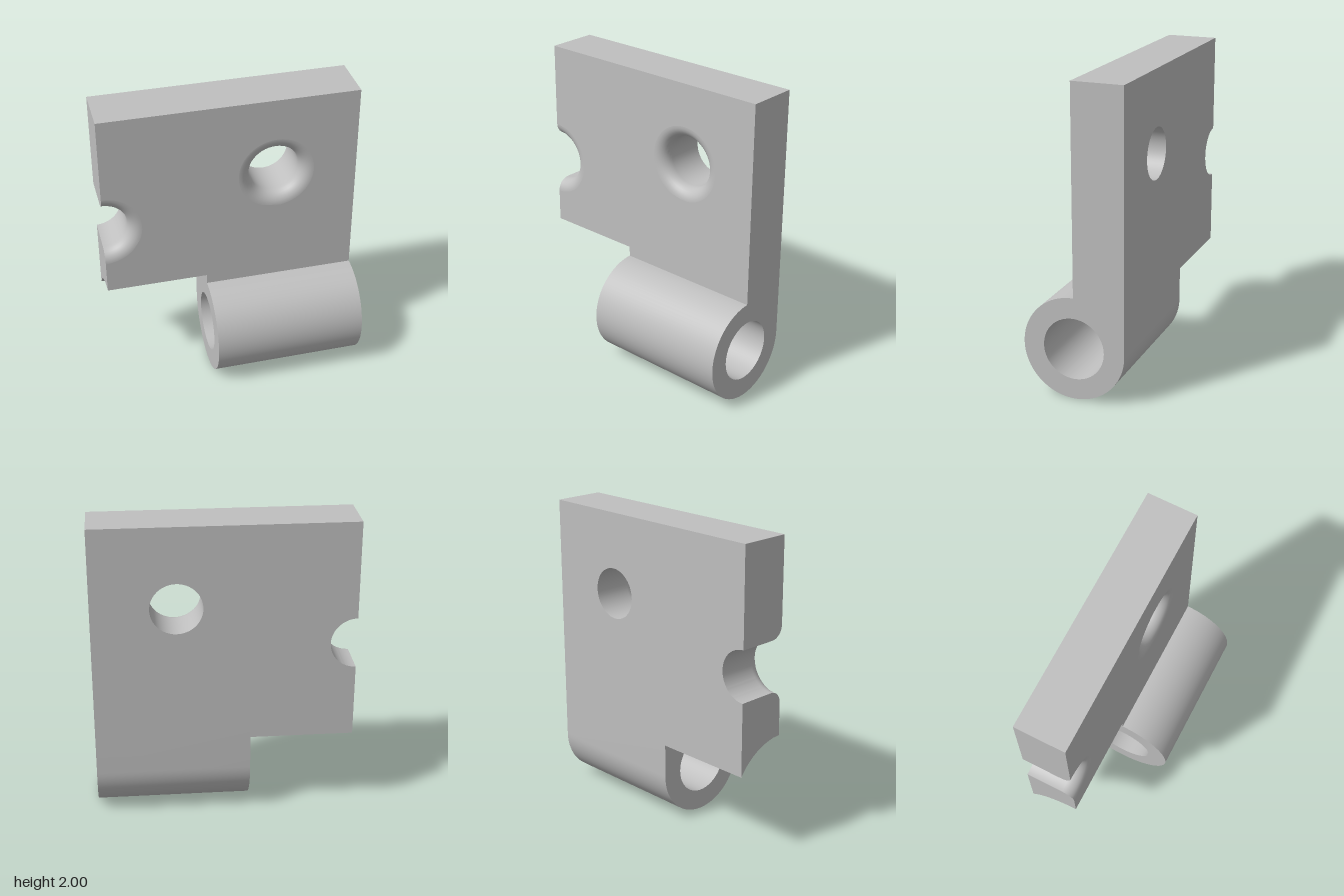
import * as THREE from 'three';
import { toCreasedNormals } from 'three/addons/utils/BufferGeometryUtils.js';

const T = 1 / 3;            // plate thickness, also barrel radius and axis height
const HALF = 5 / 6;         // half width of the plate
const STEP = -1 / 6;        // x where the barrel begins
const SEAM = T + 0.4;       // height where the plate meets the lower parts
const HOLE = 1 / 6, FILLET = 1 / 12, RINGS = 8;
const HOLES = [[0.3, 1.47], [-HALF, 1.2]];

// Crease the edges and leave out the hidden faces along the seam
function finish(geometry) {
  const g = toCreasedNormals(geometry, 0.5);
  const p = g.attributes.position, n = g.attributes.normal;
  const pos = [], nor = [];
  for (let i = 0; i < p.count; i += 3) {
    const tri = [i, i + 1, i + 2];
    if (tri.every((k) => Math.abs(p.getY(k) - SEAM) < 1e-4)) continue;
    const front = tri.every((k) => Math.abs(p.getZ(k)) < 1e-4);
    for (const k of tri) {
      pos.push(p.getX(k), p.getY(k), p.getZ(k));
      // the flat front stays flat where the rounded hole rims run into it
      if (front) nor.push(0, 0, 1);
      else nor.push(n.getX(k), n.getY(k), n.getZ(k));
    }
  }
  const out = new THREE.BufferGeometry();
  out.setAttribute('position', new THREE.Float32BufferAttribute(pos, 3));
  out.setAttribute('normal', new THREE.Float32BufferAttribute(nor, 3));
  return out;
}

// Plate with a round hole and a half-round edge notch, rims rounded at the front
function plateGeometry() {
  const [[hx, hy], [nx, ny]] = HOLES;
  const shape = new THREE.Shape();
  shape.moveTo(-HALF, SEAM);
  shape.lineTo(HALF, SEAM);
  shape.lineTo(HALF, 2);
  shape.lineTo(-HALF, 2);
  shape.lineTo(-HALF, ny + HOLE);
  shape.absarc(nx, ny, HOLE, Math.PI / 2, -Math.PI / 2, true);
  shape.closePath();
  shape.holes.push(new THREE.Path().absarc(hx, hy, HOLE, 0, Math.PI * 2, true));
  const g = new THREE.ExtrudeGeometry(shape, {
    depth: RINGS + 1, steps: RINGS + 1, bevelEnabled: false, curveSegments: 24,
  });
  const p = g.attributes.position;
  for (let i = 0; i < p.count; i++) {
    const layer = Math.round(p.getZ(i));
    const a = (Math.max(layer - 1, 0) / RINGS) * Math.PI / 2;
    const grow = 1 + FILLET * (1 - Math.cos(a)) / HOLE;
    const x = p.getX(i), y = p.getY(i);
    for (const [cx, cy] of HOLES) {
      if (Math.hypot(x - cx, y - cy) < HOLE + 0.001) {
        p.setXY(i, cx + (x - cx) * grow, cy + (y - cy) * grow);
      }
    }
    p.setZ(i, layer === 0 ? -T : FILLET * (Math.sin(a) - 1));
  }
  return finish(g);
}

// Side profile (drawn with -z to the right) swept along x
function sweep(shape, x0, x1) {
  const g = new THREE.ExtrudeGeometry(shape, {
    depth: x1 - x0, bevelEnabled: false, curveSegments: 32,
  });
  g.rotateY(Math.PI / 2);
  g.translate(x0, 0, 0);
  return finish(g);
}

export function createModel() {
  const group = new THREE.Group();
  group.name = 'hingeLeaf';
  const steel = new THREE.MeshStandardMaterial({ color: 0xbfbfbf });
  steel.name = 'plain grey';
  const add = (name, geometry) => {
    const mesh = new THREE.Mesh(geometry, steel);
    mesh.name = name;
    group.add(mesh);
  };

  add('plate', plateGeometry());

  // Barrel running tangentially into the back of the plate
  const barrel = new THREE.Shape();
  barrel.moveTo(0, SEAM);
  barrel.lineTo(0, 2 * T);
  barrel.absarc(0, T, T, Math.PI / 2, Math.PI * 2, false);
  barrel.lineTo(T, SEAM);
  barrel.closePath();
  barrel.holes.push(new THREE.Path().absarc(0, T, 0.2, 0, Math.PI * 2, true));
  add('barrel', sweep(barrel, STEP, HALF));

  // Lower edge hollowed to clear the mating barrel
  const relief = new THREE.Shape();
  relief.moveTo(0, SEAM);
  relief.absarc(0, T, 0.4, Math.PI / 2, Math.acos(T / 0.4), true);
  relief.lineTo(T, SEAM);
  relief.closePath();
  add('clearanceEdge', sweep(relief, -HALF, STEP));

  return group;
}
